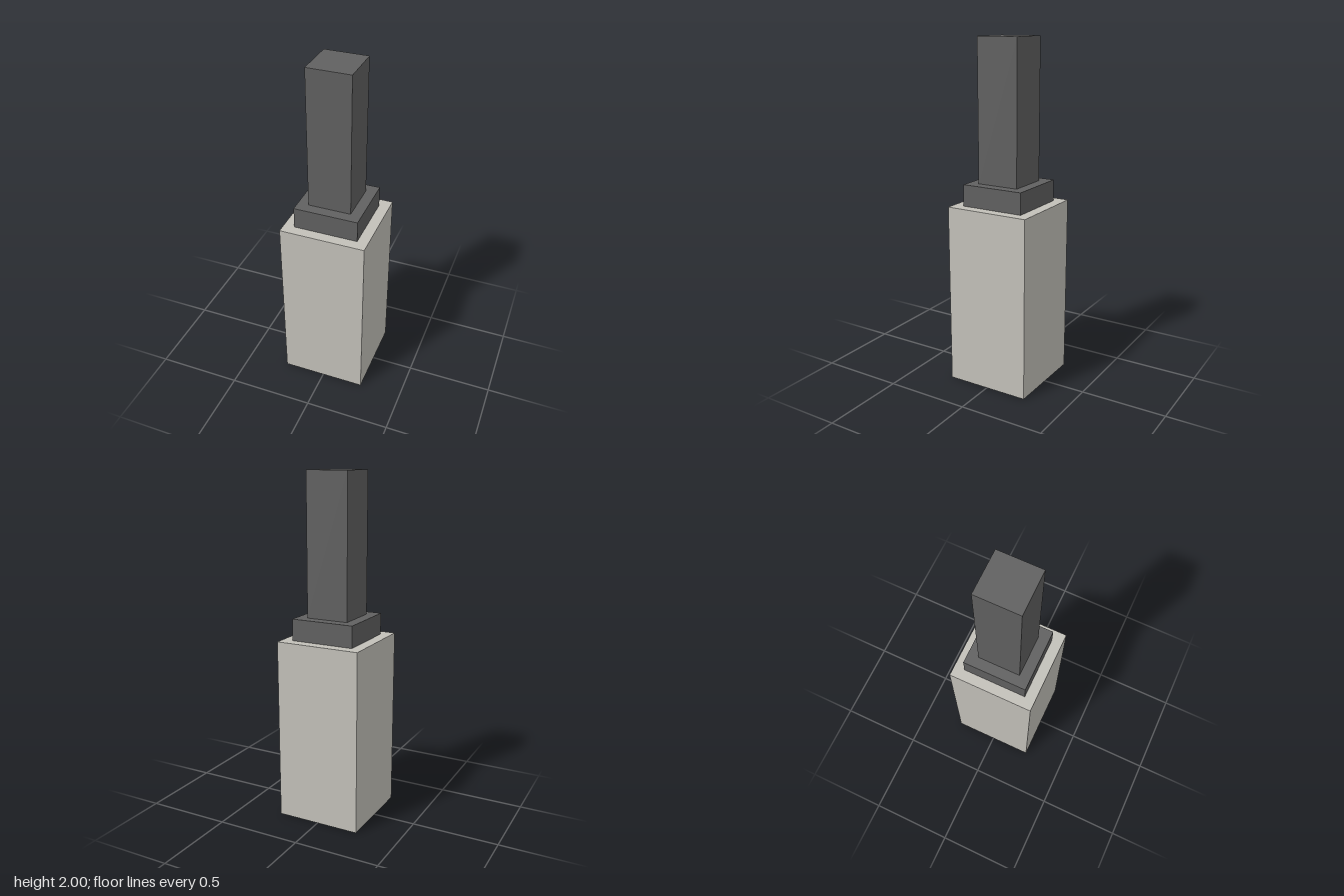
import * as THREE from 'three';

export function createModel() {
  const stone = new THREE.MeshStandardMaterial({ color: 0xc2c0b9 });
  stone.name = 'pale stone';
  const iron = new THREE.MeshStandardMaterial({ color: 0x606060 });
  iron.name = 'dark grey';

  const model = new THREE.Group();
  model.name = 'steppedPost';

  // Square blocks stacked upward: name, width, bottom, top, material
  const blocks = [
    ['base', 0.5, 0, 1.0625, stone],
    ['collar', 0.375, 1.0625, 1.1875, iron],
    ['post', 0.25, 1.1875, 2, iron],
  ];
  for (const [name, width, bottom, top, material] of blocks) {
    const block = new THREE.Mesh(new THREE.BoxGeometry(width, top - bottom, width), material);
    block.name = name;
    block.position.y = (bottom + top) / 2;
    model.add(block);
  }
  return model;
}
